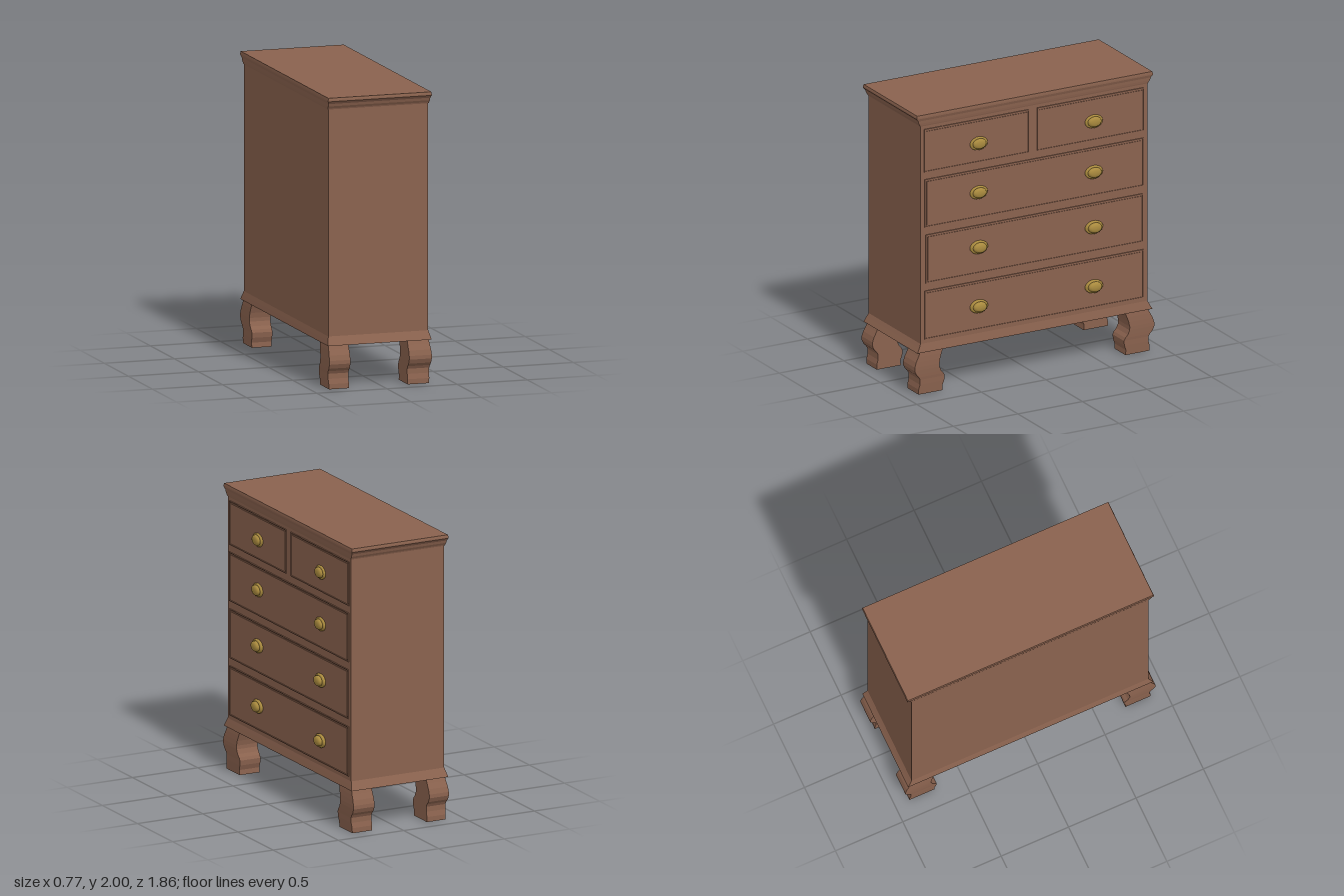
import * as THREE from 'three';

const wood = new THREE.MeshStandardMaterial({ color: 0x8a624e });
wood.name = 'brownWood';
const brass = new THREE.MeshStandardMaterial({ color: 0xa98a3e });
brass.name = 'brass';

// Stack of rectangular sections [y, x0, x1, z0, z1], listed bottom to top, capped at both ends
function loft(name, sections) {
  const pos = [];
  const quad = (a, b, c, d) => pos.push(...a, ...b, ...c, ...a, ...c, ...d);
  const rings = sections.map(([y, x0, x1, z0, z1]) =>
    [[x0, y, z1], [x1, y, z1], [x1, y, z0], [x0, y, z0]]);
  for (let i = 0; i < rings.length - 1; i++) {
    for (let k = 0; k < 4; k++) {
      const n = (k + 1) % 4;
      quad(rings[i][k], rings[i][n], rings[i + 1][n], rings[i + 1][k]);
    }
  }
  const b = rings[0], t = rings[rings.length - 1];
  quad(b[3], b[2], b[1], b[0]);
  quad(t[0], t[1], t[2], t[3]);
  const geo = new THREE.BufferGeometry();
  geo.setAttribute('position', new THREE.Float32BufferAttribute(pos, 3));
  geo.computeVertexNormals();
  const mesh = new THREE.Mesh(geo, wood);
  mesh.name = name;
  return mesh;
}

// Carcass section grown outwards by dx and dz
const BACK = -0.376, FRONT = 0.336, HALF = 0.878;
const grown = (y, dx, dz) => [y, BACK - dx, FRONT + dx, -HALF - dz, HALF + dz];

function block(name, x0, x1, y0, y1, z0, z1) {
  return loft(name, [[y0, x0, x1, z0, z1], [y1, x0, x1, z0, z1]]);
}

// Drawer front: a thin lipped panel with a raised field inside a narrow groove
function drawer(name, y0, y1, z0, z1) {
  const g = new THREE.Group();
  g.name = name;
  const e = 0.007, w = 0.016;
  g.add(block('drawerPanel', FRONT - 0.01, FRONT + 0.002, y0, y1, z0, z1));
  g.add(block('drawerField', FRONT - 0.01, FRONT + 0.006, y0 + w, y1 - w, z0 + w, z1 - w));
  const x0 = FRONT - 0.01, x1 = FRONT + 0.007;
  g.add(block('lipBottom', x0, x1, y0, y0 + e, z0, z1));
  g.add(block('lipTop', x0, x1, y1 - e, y1, z0, z1));
  g.add(block('lipRight', x0, x1, y0 + e, y1 - e, z0, z0 + e));
  g.add(block('lipLeft', x0, x1, y0 + e, y1 - e, z1 - e, z1));
  return g;
}

// Oval knob: stepped backplate and dome, turned about x and squashed in y
function knob(y, z, tip) {
  const d = tip - FRONT;
  const profile = [
    [0.066, 0], [0.068, d * 0.3], [0.062, d * 0.45], [0.053, d * 0.5], [0.05, d * 0.42],
    [0.05, d * 0.6], [0.046, d * 0.8], [0.033, d * 0.93], [0.016, d * 0.99], [0, d],
  ].map(([r, h]) => new THREE.Vector2(r, h));
  const geo = new THREE.LatheGeometry(profile, 24);
  geo.rotateZ(-Math.PI / 2);
  geo.scale(1, 0.7, 1);
  const mesh = new THREE.Mesh(geo, brass);
  mesh.name = 'knob';
  mesh.position.set(FRONT, y, z);
  return mesh;
}

// Cabriole leg sections: y, outward x swell, inner z, outer z
const LEG = [
  [0, 0, 0.708, 0.894], [0.035, 0.002, 0.711, 0.894], [0.07, 0.004, 0.698, 0.885],
  [0.105, 0.005, 0.694, 0.884], [0.125, 0.007, 0.704, 0.895], [0.145, 0.008, 0.722, 0.914],
  [0.175, 0.009, 0.736, 0.928], [0.2, 0.009, 0.737, 0.927], [0.235, 0.007, 0.73, 0.916],
  [0.27, 0.004, 0.718, 0.897], [0.302, 0, 0.705, 0.882],
];
function leg(name, front, side) {
  return loft(name, LEG.map(([y, s, zi, zo]) => {
    const x = front ? [0.184, FRONT + s] : [BACK - s, -0.235];
    const z = side > 0 ? [zi, zo] : [-zo, -zi];
    return [y, ...x, ...z];
  }));
}

export function createModel() {
  const chest = new THREE.Group();
  chest.name = 'chestOfDrawers';

  // Carcass and flared base
  chest.add(loft('carcass', [
    grown(0.3, 0.013, 0.032), grown(0.308, 0.012, 0.028), grown(0.335, 0.006, 0.013), grown(0.36, 0, 0), grown(1.93, 0, 0),
  ]));
  // Cornice with an undercut below its top board
  chest.add(loft('cornice', [
    grown(1.917, 0.002, 0.003), grown(1.925, 0.004, 0.006), grown(1.94, 0.006, 0.016),
    grown(1.958, 0.007, 0.022), grown(1.976, 0.013, 0.036), grown(1.985, 0.013, 0.036),
    grown(2, 0.011, 0.032),
  ]));

  // Two small drawers above three wide ones
  chest.add(drawer('topDrawerLeft', 1.585, 1.893, 0.04, 0.85));
  chest.add(drawer('topDrawerRight', 1.585, 1.893, -0.85, -0.025));
  [[1.19, 1.533, 0.848], [0.79, 1.135, 0.842], [0.388, 0.735, 0.847]].forEach(([y0, y1, z]) =>
    chest.add(drawer('wideDrawer', y0, y1, -z, z)));

  // Knob pairs: left height, right height, tip
  [[1.722, 1.722, 0.376], [1.371, 1.359, 0.379], [0.979, 0.964, 0.386], [0.555, 0.541, 0.386]]
    .forEach(([left, right, tip]) => {
      chest.add(knob(left, 0.433, tip));
      chest.add(knob(right, -0.458, tip));
    });

  // Four legs
  for (const side of [1, -1]) {
    chest.add(leg('drawerSideLeg', true, side));
    chest.add(leg('backSideLeg', false, side));
  }
  return chest;
}
